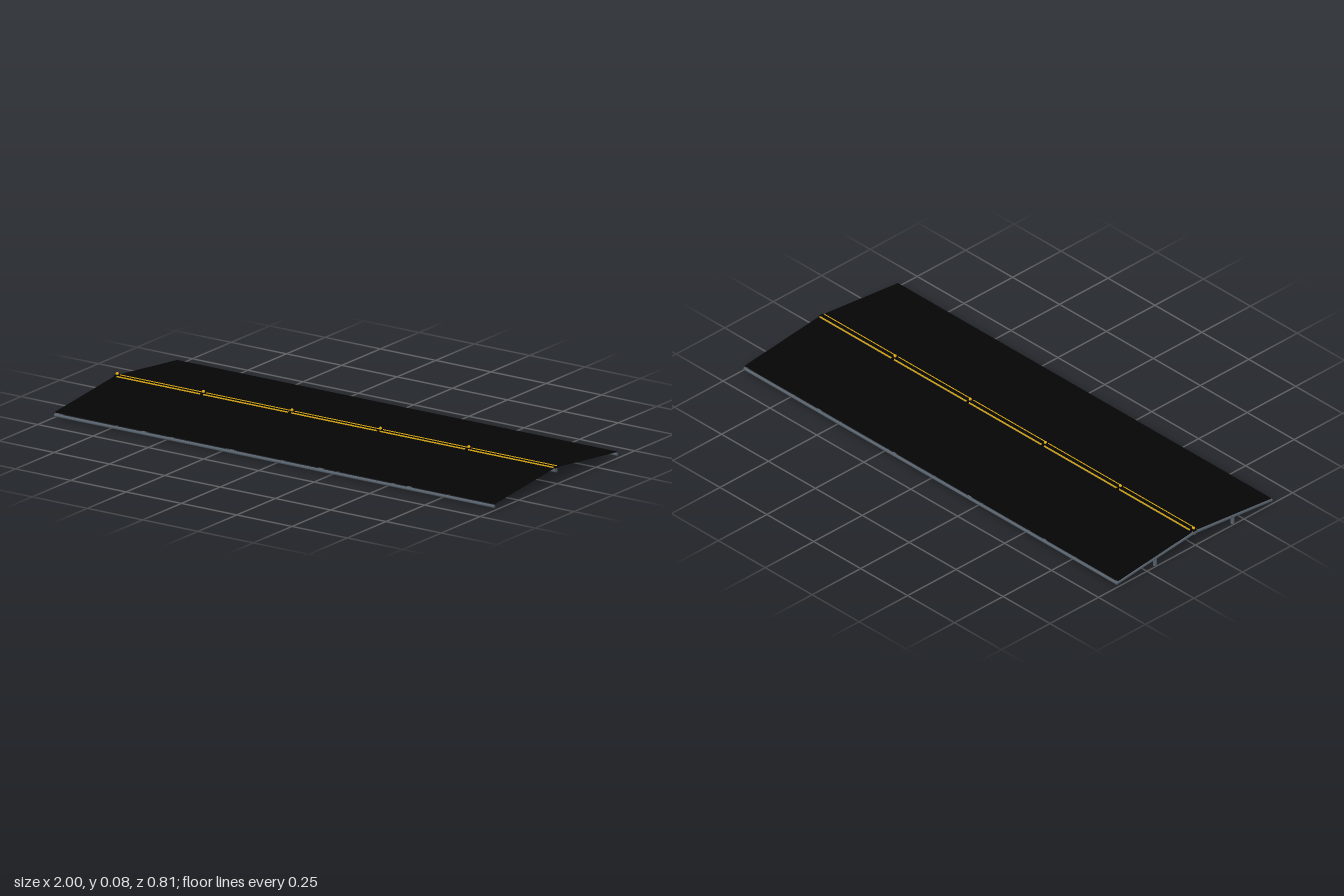
import * as THREE from 'three';

export function createModel() {
  const root = new THREE.Group();
  const mat = (name, color) => {
    const m = new THREE.MeshStandardMaterial({ color });
    m.name = name;
    return m;
  };
  const black = mat('panel black', 0x050505);
  const steel = mat('steel grey', 0x56606a);
  const gold = mat('lamp yellow', 0xe0ac10);

  const add = (name, geometry, material, x, y, z) => {
    const m = new THREE.Mesh(geometry, material);
    m.name = name;
    m.position.set(x, y, z);
    root.add(m);
    return m;
  };
  // round steel tube between two points
  const tube = (name, a, b, r) => {
    const p = new THREE.Vector3(...a), q = new THREE.Vector3(...b);
    const d = q.clone().sub(p);
    const m = add(name, new THREE.CylinderGeometry(r, r, d.length(), 12), steel, 0, 0, 0);
    m.position.copy(p).add(q).multiplyScalar(0.5);
    m.quaternion.setFromUnitVectors(new THREE.Vector3(0, 1, 0), d.normalize());
  };

  const frames = [-0.99, -0.6, -0.2, 0.2, 0.6];
  const edges = [-0.995, -0.6, -0.2, 0.2, 0.6, 0.993];
  const eaveZ = 0.394, eaveY = 0.0203, ridgeZ = 0.016, ridgeY = 0.0603;
  const slope = Math.atan2(ridgeY - eaveY, eaveZ - ridgeZ);
  const length = Math.hypot(ridgeY - eaveY, eaveZ - ridgeZ);

  // ridge beam with its dark cover
  tube('ridgeBeam', [-0.995, 0.052, 0], [0.995, 0.052, 0], 0.0095);
  add('ridgeCover', new THREE.BoxGeometry(1.995, 0.003, 0.02), black, 0, 0.062, 0);

  for (const s of [-1, 1]) {
    tube('eaveTube', [-0.995, 0.0115, s * 0.397], [0.993, 0.0115, s * 0.397], 0.006);

    // one sloping panel for each bay
    for (let i = 0; i < 5; i++) {
      const p = add('roofPanel', new THREE.BoxGeometry(edges[i + 1] - edges[i], 0.003, length), black,
        (edges[i] + edges[i + 1]) / 2, (eaveY + ridgeY) / 2 + 0.0015, s * (eaveZ + ridgeZ) / 2);
      p.rotation.x = s * slope;
    }

    // upright light strip along each side of the ridge cover
    add('lightStrip', new THREE.BoxGeometry(1.985, 0.006, 0.002), gold, -0.0025, 0.0635, s * 0.011);

    // rafters, each on a short post
    for (const x of frames) {
      tube('rafter', [x, 0.0123, s * 0.397], [x, 0.0525, 0], 0.0075);
      tube('post', [x, 0, s * 0.2], [x, 0.031, s * 0.2], 0.0078);
    }
  }

  // ridge brackets and lamps
  for (const x of frames) {
    add('ridgeBracket', new THREE.BoxGeometry(0.01, 0.005, 0.034), black, x, 0.0645, 0);
    add('lamp', new THREE.SphereGeometry(0.006, 12, 8), gold, x, 0.072, 0);
  }
  return root;
}
